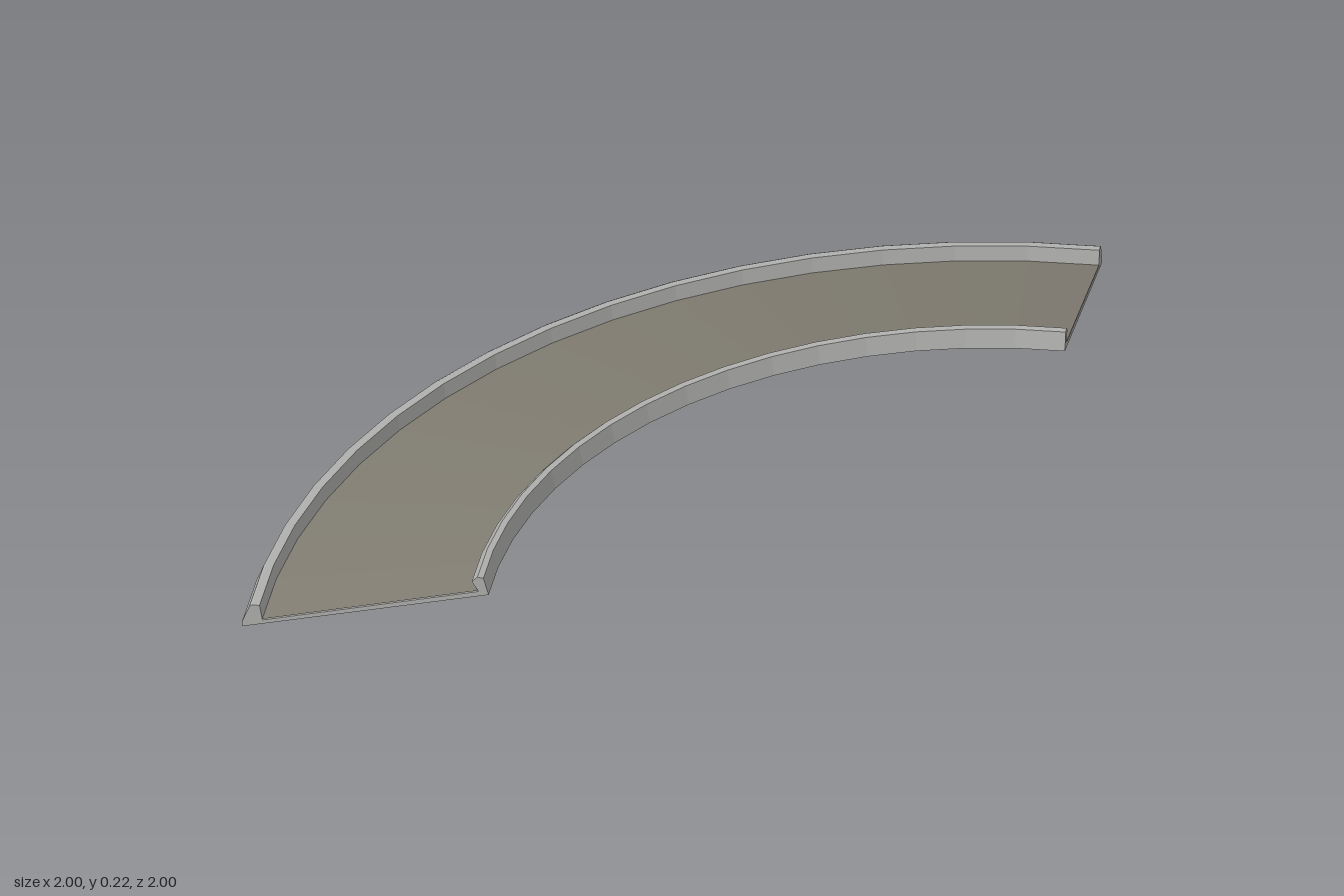
import * as THREE from 'three';

const SEGMENTS = 16;

// Sweep a (radius, height) profile through a quarter turn, with faceted normals
function sweep(points, material, name) {
  const profile = points.map(([r, y]) => new THREE.Vector2(r, y));
  const geometry = new THREE.LatheGeometry(profile, SEGMENTS, Math.PI, Math.PI / 2).toNonIndexed();
  geometry.computeVertexNormals();
  const mesh = new THREE.Mesh(geometry, material);
  mesh.name = name;
  return mesh;
}

// Flat cap closing one end of a swept profile
function endCap(points, material, angle, name) {
  const shape = new THREE.Shape(points.map(([r, y]) => new THREE.Vector2(r, y)));
  const mesh = new THREE.Mesh(new THREE.ShapeGeometry(shape), material);
  mesh.rotation.y = angle;
  mesh.name = name;
  return mesh;
}

export function createModel() {
  const concrete = new THREE.MeshStandardMaterial({ color: 0xb0b0ae, side: THREE.DoubleSide });
  concrete.name = 'concrete grey';
  const asphalt = new THREE.MeshStandardMaterial({ color: 0x817d72 });
  asphalt.name = 'warm road grey';

  const model = new THREE.Group();
  model.name = 'bankedRoadCurve';

  // Banked slab with a leaning kerb on each edge, listed anticlockwise
  const slab = [
    [2, 0], [2, 0.015], [1.98, 0.067], [1.972, 0.072], [1.953, 0.072], [1.945, 0.026],
    [1.367, 0.178], [1.385, 0.208], [1.37, 0.224], [1.354, 0.222], [1.34, 0.17],
  ];
  model.add(sweep([...slab, slab[0]], concrete, 'slabAndKerbs'));
  model.add(endCap(slab, concrete, Math.PI, 'frontEnd'));
  model.add(endCap(slab, concrete, Math.PI / 2, 'sideEnd'));

  // Road surface between the kerbs
  model.add(sweep([[1.946, 0.029], [1.368, 0.181]], asphalt, 'roadSurface'));

  // The curve's centre lies at the front left corner
  model.children.forEach((part) => part.position.set(1, 0, 1));
  return model;
}
